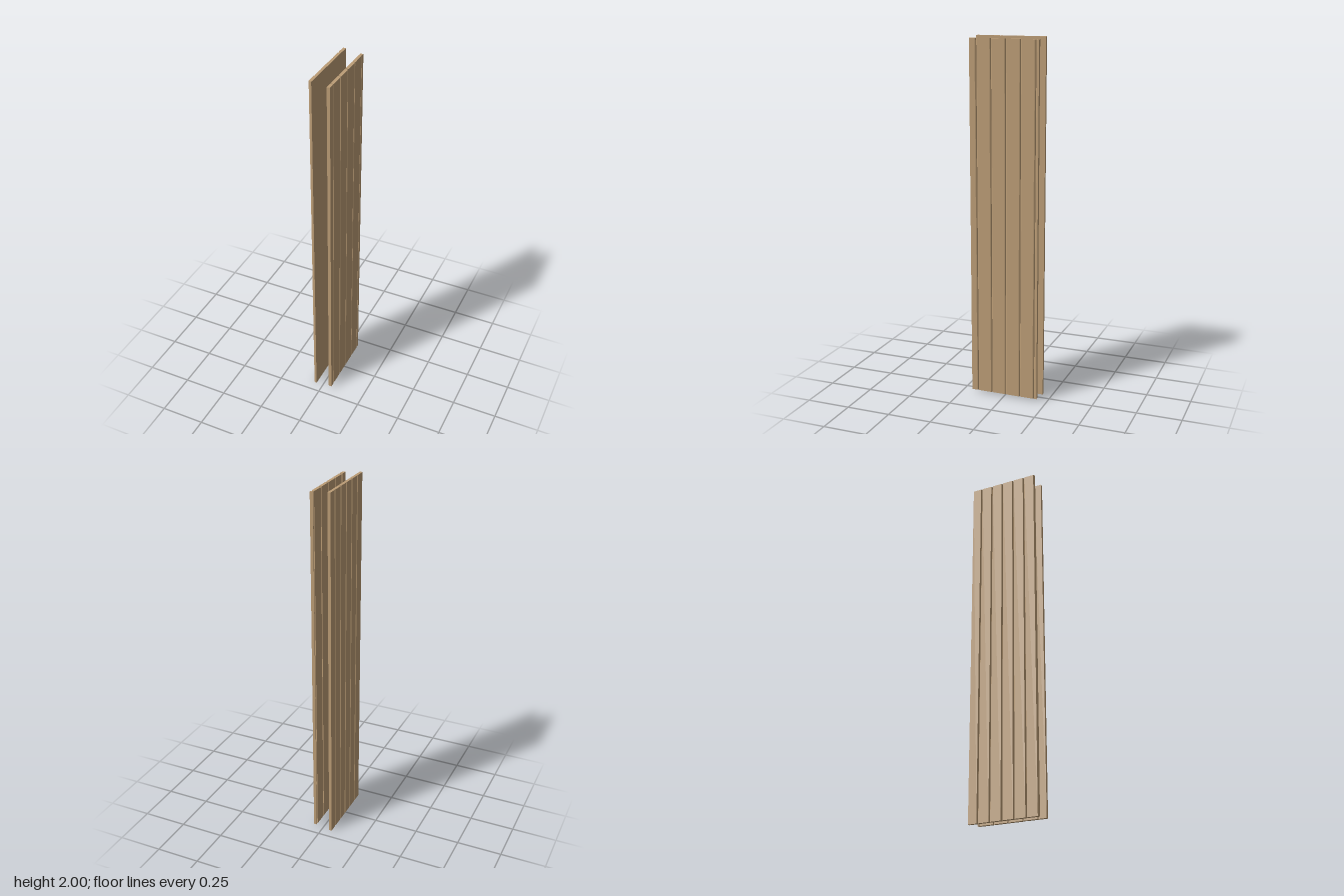
import * as THREE from 'three';

// Extrudes a plan outline of [x, z] points upward from y0 to y1
function upright(name, points, y0, y1, material) {
  const shape = new THREE.Shape(points.map(([x, z]) => new THREE.Vector2(x, -z)));
  const geometry = new THREE.ExtrudeGeometry(shape, { depth: y1 - y0, bevelEnabled: false });
  geometry.rotateX(-Math.PI / 2).translate(0, y0, 0);
  const mesh = new THREE.Mesh(geometry, material);
  mesh.name = name;
  return mesh;
}

export function createModel() {
  const wood = new THREE.MeshStandardMaterial({ color: 0xbc9d76 });
  wood.name = 'wood';
  const model = new THREE.Group();
  model.name = 'woodPanels';

  // Solid panel with V grooves on its outer (-x) face
  const outline = [[-0.041, 0.195], [-0.041, -0.197], [-0.057, -0.197]];
  for (let i = 0; i < 5; i++) {
    const z = -0.144 + i * 0.068;
    outline.push([-0.057, z - 0.005], [-0.048, z], [-0.057, z + 0.005]);
  }
  outline.push([-0.057, 0.19], [-0.049, 0.195]);
  model.add(upright('groovedPanel', outline, 0, 2, wood));

  // Shiplap boards: a thin lip at one end meets the rounded shoulder of the next
  const cladding = new THREE.Group();
  cladding.name = 'shiplapPanel';
  const joints = Array.from({ length: 5 }, (_, i) => -0.177 + i * 0.0832);
  for (let i = 0; i <= joints.length; i++) {
    const a = joints[i - 1], b = joints[i];
    const start = i === 0
      ? [[0.039, -0.193], [0.056, -0.193]]
      : [[0.039, a - 0.002], [0.046, a - 0.002], [0.046, a + 0.001],
         [0.05, a + 0.001], [0.054, a + 0.004], [0.056, a + 0.008]];
    const end = i === joints.length
      ? [[0.056, 0.195], [0.039, 0.195]]
      : [[0.056, b - 0.006], [0.055, b - 0.003], [0.053, b - 0.001],
         [0.047, b - 0.001], [0.047, b - 0.01], [0.039, b - 0.01]];
    cladding.add(upright('shiplapBoard', [...start, ...end], 0.012, 1.99, wood));
  }
  model.add(cladding);
  return model;
}
